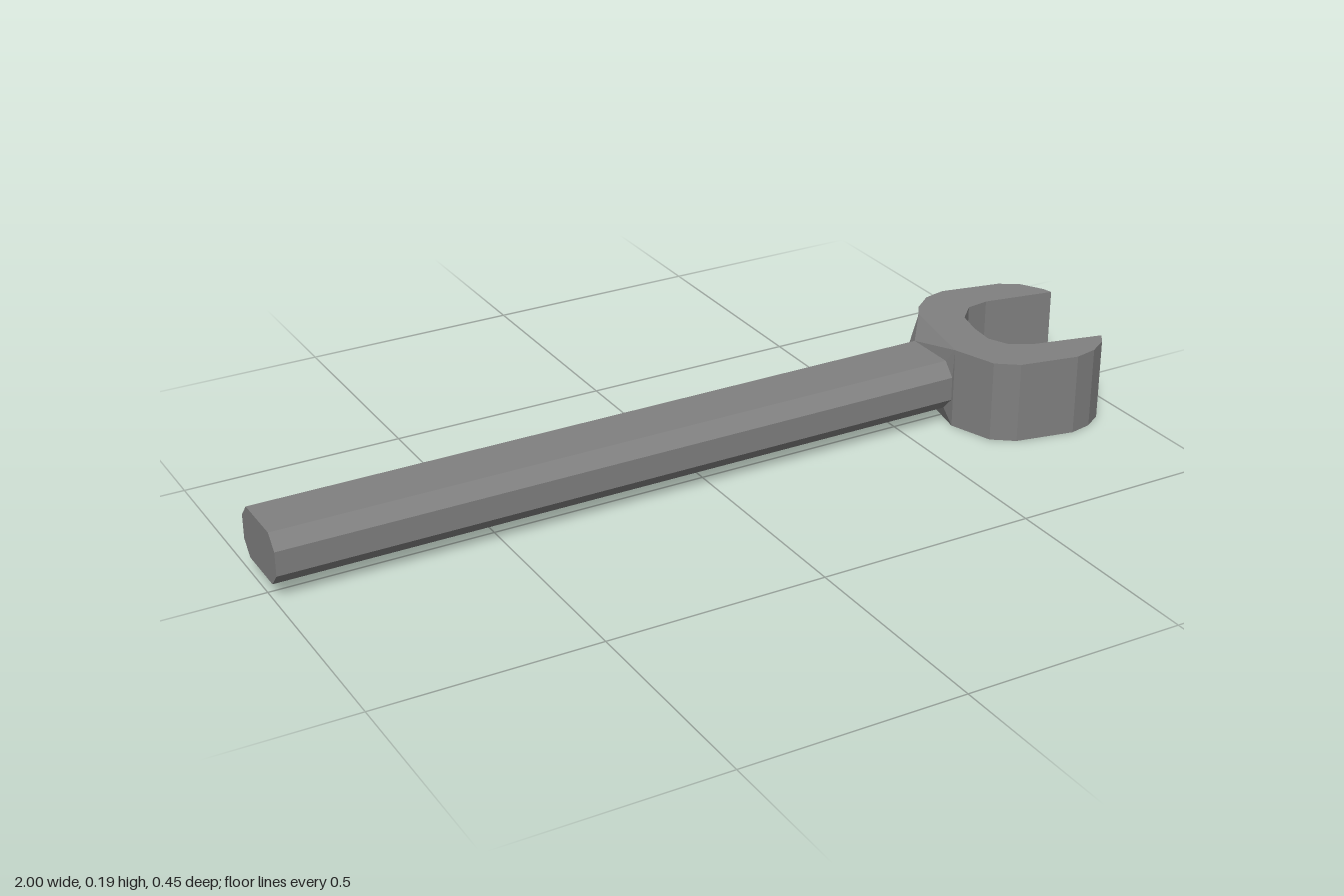
import * as THREE from 'three';

// Skin two matching rings of [x, y, z] points; optionally close the first ring
function loft(a, b, cap) {
  const pos = [];
  const tri = (p, q, r) => pos.push(...p, ...q, ...r);
  const same = (p, q) => p.every((v, i) => v === q[i]);
  a.forEach((p, i) => {
    const j = (i + 1) % a.length;
    tri(p, a[j], b[j]);
    if (!same(b[i], b[j])) tri(p, b[j], b[i]);
    if (cap && i > 0 && j > 0) tri(a[0], a[j], p);
  });
  const geo = new THREE.BufferGeometry();
  geo.setAttribute('position', new THREE.Float32BufferAttribute(pos, 3));
  geo.computeVertexNormals();
  return geo;
}

export function createModel() {
  const group = new THREE.Group();
  const steel = new THREE.MeshStandardMaterial({ color: 0x808080 });
  steel.name = 'steel grey';
  steel.flatShading = true;

  const add = (name, geo) => {
    const mesh = new THREE.Mesh(geo, steel);
    mesh.name = name;
    group.add(mesh);
    return mesh;
  };

  const height = 0.188;

  // Handle: chamfered bar, section given as [y, z]
  const section = [
    [0.153, -0.09], [0.153, 0.034], [0.122, 0.062], [0.067, 0.062],
    [0.036, 0.034], [0.036, -0.09], [0.067, -0.118], [0.122, -0.118],
  ];
  const ring = (x) => section.map(([y, z]) => [x, y, z]);
  add('handle', loft(ring(-1), ring(0.61), true));

  // Neck: flares from the bar to the slanted back face of the head
  const back = [0.658, -0.147], front = [0.616, 0.06];
  const corner = ([x, z], y) => [x, y, z];
  const tb = corner(back, height), tf = corner(front, height);
  const bf = corner(front, 0), bb = corner(back, 0);
  add('neck', loft(ring(0.61), [tb, tf, tf, bf, bf, bb, bb, tb], false));

  // Head: open jaw outline as [x, z]
  const outline = [
    back, front, [0.65, 0.16], [0.698, 0.196], [0.834, 0.223], [0.887, 0.212],
    [0.93, 0.185], [0.95, 0.157],
    [0.79, 0.12], [0.738, 0.09], [0.717, 0.045], [0.722, -0.015],
    [0.738, -0.078], [0.78, -0.12], [0.834, -0.128], [1.0, -0.098],
    [0.995, -0.12], [0.963, -0.174], [0.92, -0.2], [0.78, -0.229],
    [0.727, -0.217], [0.68, -0.18],
  ];
  const shape = new THREE.Shape(outline.map(([x, z]) => new THREE.Vector2(x, -z)));
  const head = new THREE.ExtrudeGeometry(shape, { depth: height, bevelEnabled: false });
  head.rotateX(-Math.PI / 2);
  add('jawHead', head);

  return group;
}
